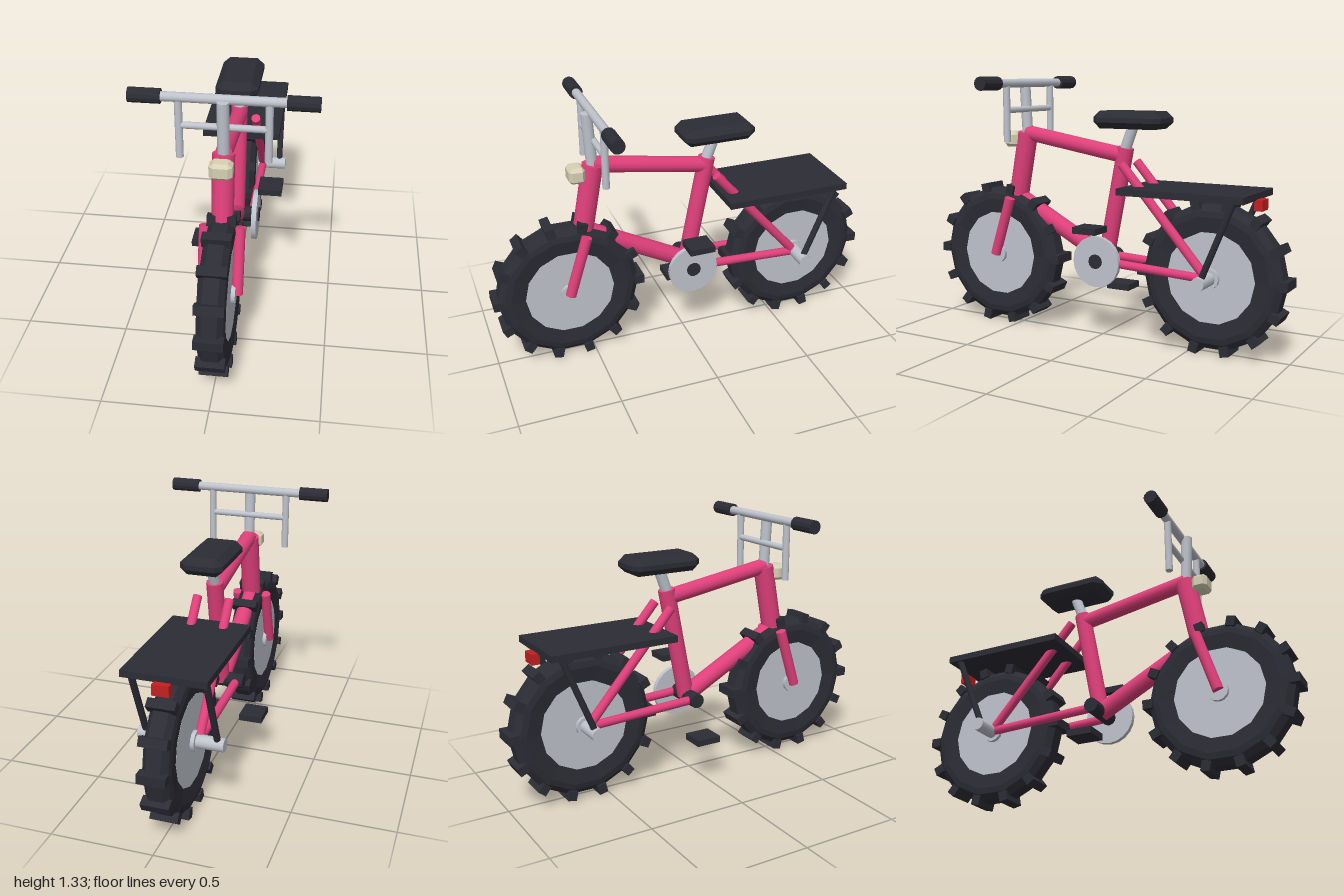
import * as THREE from 'three';
import { ConvexGeometry } from 'three/addons/geometries/ConvexGeometry.js';

const mat = (name, color, flatShading = false) =>
  new THREE.MeshStandardMaterial({ name, color, flatShading });

export function createModel() {
  const pink = mat('pink paint', 0xe0407a);
  const black = mat('black rubber', 0x2c2c35, true);
  const metal = mat('light metal', 0xbfc3cc);
  const cream = mat('cream lamp', 0xd8d0b4, true);
  const red = mat('red lamp', 0xc42020, true);

  const bike = new THREE.Group();
  bike.name = 'bicycle';

  const add = (name, geometry, material, x = 0, y = 0, z = 0, parent = bike) => {
    const mesh = new THREE.Mesh(geometry, material);
    mesh.name = name;
    mesh.position.set(x, y, z);
    parent.add(mesh);
    return mesh;
  };
  const box = (name, w, h, d, material, x, y, z) =>
    add(name, new THREE.BoxGeometry(w, h, d), material, x, y, z);
  // Round tube between two points
  const tube = (name, a, b, r, material, parent = bike) => {
    const p = new THREE.Vector3(...a), q = new THREE.Vector3(...b);
    const dir = q.clone().sub(p);
    const mesh = add(name, new THREE.CylinderGeometry(r, r, dir.length(), 12), material, 0, 0, 0, parent);
    mesh.position.copy(p).add(q).multiplyScalar(0.5);
    mesh.quaternion.setFromUnitVectors(new THREE.Vector3(0, 1, 0), dir.normalize());
    return mesh;
  };
  // Block with bevelled edges: half sizes h, bevels c
  const bevelBlock = (h, c) => {
    const points = [];
    for (const sx of [-1, 1]) for (const sy of [-1, 1]) for (const sz of [-1, 1])
      for (let axis = 0; axis < 3; axis++) {
        const v = h.map((s, i) => (i === axis ? s : s - c[i]));
        points.push(new THREE.Vector3(sx * v[0], sy * v[1], sz * v[2]));
      }
    return new ConvexGeometry(points);
  };

  // Wheels: tyre, tread blocks, rim disc and hub
  const KNOBS = 14;
  const tyreProfile = [
    [0.215, -0.05], [0.225, -0.055], [0.3, -0.066], [0.33, -0.06], [0.36, -0.035],
    [0.36, 0.035], [0.33, 0.06], [0.3, 0.066], [0.225, 0.055], [0.215, 0.05],
  ].map(([r, x]) => new THREE.Vector2(r, x));
  const makeWheel = (name, z) => {
    const wheel = new THREE.Group();
    wheel.name = name;
    wheel.position.set(0, 0.382, z);
    bike.add(wheel);
    const tyre = add('tyre', new THREE.LatheGeometry(tyreProfile, KNOBS), black, 0, 0, 0, wheel);
    tyre.rotation.z = Math.PI / 2;
    for (let i = 0; i < KNOBS; i++) {
      const a = (i / KNOBS) * Math.PI * 2;
      const knob = add('treadBlock', new THREE.BoxGeometry(0.135, 0.05, 0.045), black,
        0, Math.sin(a) * 0.358, Math.cos(a) * 0.358, wheel);
      knob.rotation.x = Math.PI / 2 - a;
    }
    const disc = add('rimDisc', new THREE.CylinderGeometry(0.225, 0.225, 0.112, KNOBS), metal, 0, 0, 0, wheel);
    disc.rotation.z = Math.PI / 2;
    tube('hub', [-0.075, 0, 0], [0.075, 0, 0], 0.05, metal, wheel);
  };
  makeWheel('frontWheel', 0.615);
  makeWheel('rearWheel', -0.615);
  tube('rearAxle', [-0.21, 0.382, -0.615], [0.21, 0.382, -0.615], 0.033, metal);

  // Frame
  tube('headTube', [0, 0.69, 0.52], [0, 1.035, 0.455], 0.052, pink);
  tube('topTube', [0, 1.035, 0.455], [0, 0.94, -0.12], 0.04, pink);
  tube('downTube', [0, 0.69, 0.51], [0, 0.41, -0.02], 0.045, pink);
  tube('seatTube', [0, 0.41, -0.02], [0, 0.98, -0.13], 0.042, pink);
  for (const s of [-1, 1]) {
    const x = s * 0.081;
    tube('forkLeg', [x, 0.38, 0.62], [x, 0.69, 0.522], 0.027, pink);
    tube('seatStay', [x, 0.382, -0.61], [x, 0.905, -0.15], 0.023, pink);
    tube('chainStay', [x, 0.41, -0.02], [x, 0.382, -0.61], 0.022, pink);
  }

  // Saddle
  tube('seatPost', [0, 0.95, -0.12], [0, 1.1, -0.175], 0.028, metal);
  add('saddle', bevelBlock([0.105, 0.043, 0.185], [0.035, 0.031, 0.035]), black, 0, 1.119, -0.17);

  // Handlebar
  tube('stem', [0, 1.02, 0.457], [0, 1.295, 0.472], 0.028, metal);
  tube('handlebar', [-0.3, 1.295, 0.447], [0.3, 1.295, 0.447], 0.022, metal);
  tube('crossBar', [-0.2, 1.16, 0.447], [0.2, 1.16, 0.447], 0.016, metal);
  for (const s of [-1, 1]) {
    tube('handlebarDrop', [s * 0.2, 1.0, 0.447], [s * 0.2, 1.295, 0.447], 0.018, metal);
    tube('grip', [s * 0.275, 1.295, 0.447], [s * 0.42, 1.295, 0.447], 0.034, black);
  }

  // Lamps
  add('headlight', bevelBlock([0.053, 0.04, 0.04], [0.02, 0.016, 0.016]), cream, 0, 1.0, 0.54);
  box('tailLight', 0.08, 0.052, 0.04, red, 0, 0.745, -0.84);

  // Rear rack
  box('rackPlate', 0.4, 0.033, 0.645, black, 0, 0.784, -0.505);
  for (const s of [-1, 1])
    tube('rackStrut', [s * 0.175, 0.39, -0.615], [s * 0.175, 0.78, -0.775], 0.016, black);

  // Drivetrain
  tube('bottomBracket', [-0.12, 0.41, -0.02], [0.12, 0.41, -0.02], 0.037, black);
  const ring = add('chainring', new THREE.CylinderGeometry(0.13, 0.13, 0.025, 20), metal, 0.1, 0.408, -0.02);
  ring.rotation.z = Math.PI / 2;
  box('leftPedal', 0.12, 0.032, 0.13, black, 0.175, 0.583, -0.022);
  box('rightPedal', 0.12, 0.032, 0.13, black, -0.175, 0.233, -0.022);

  return bike;
}
